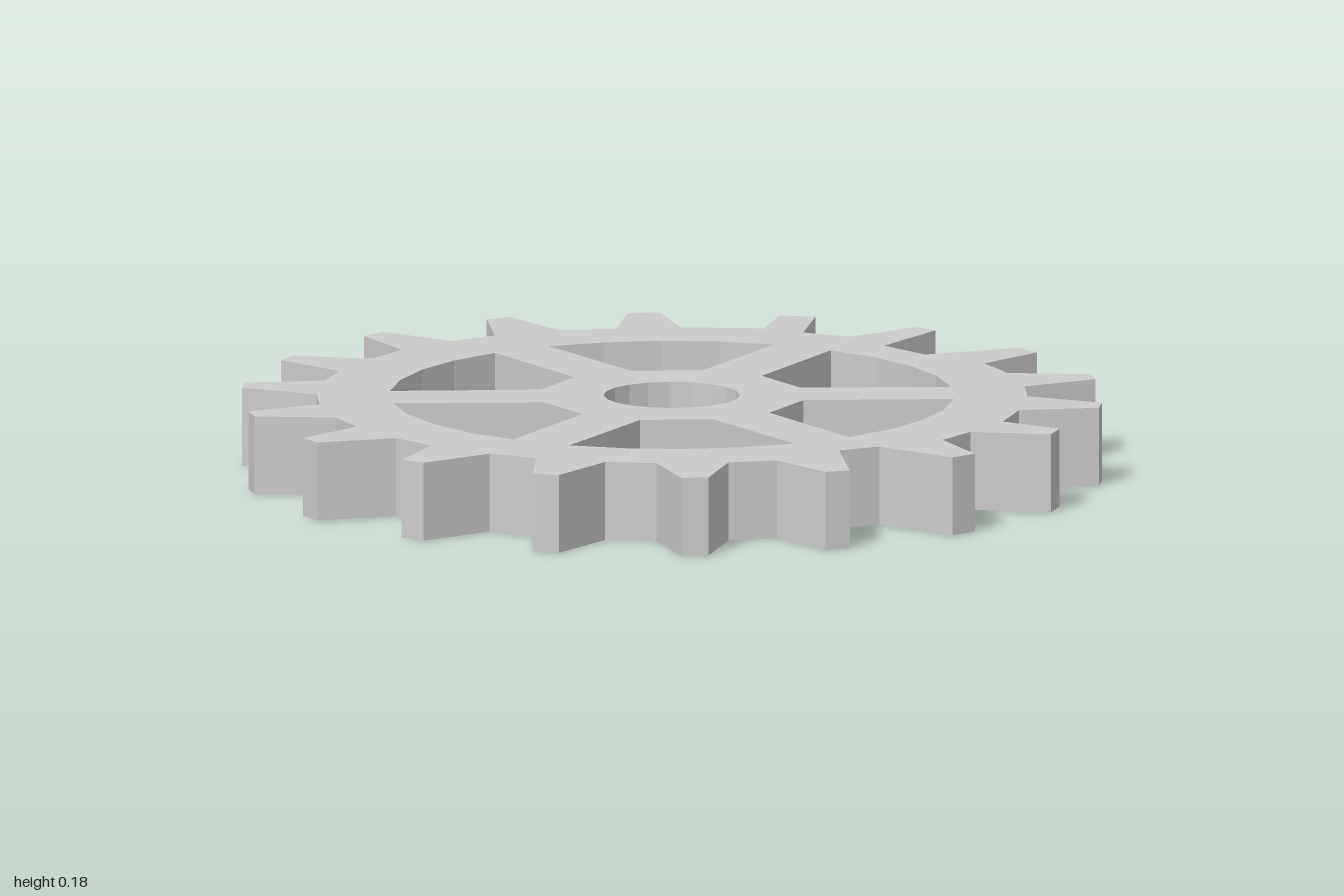
import * as THREE from 'three';

const HEIGHT = 0.183, TEETH = 18, SPOKES = 6;
const ROOT_R = 0.82, TIP_R = 0.996, WINDOW_R = 0.652, BORE_R = 0.158;
const CENTRE = 0.004; // hub sits slightly towards the back

// Point at a clockwise angle in degrees, measured from the back of the wheel
function polar(radius, degrees, offset = 0) {
  const a = THREE.MathUtils.degToRad(degrees);
  return new THREE.Vector2(radius * Math.sin(a), radius * Math.cos(a) + offset);
}

// Tooth corners as [radius, angle from the tooth's pitch position]
const regularTooth = [[ROOT_R, -6.9], [TIP_R, -2.6], [TIP_R, 1], [ROOT_R, 4.7]];

// A few teeth are hand-cut and differ from the regular one
const oddTeeth = {
  0: [[0.81, -7], [0.994, -3.7], [1.001, 0.6], [0.82, 3.7]],
  1: [[0.834, -3], [0.993, -3.3], [1.003, 1.5], [0.816, 4]],
  2: [[0.817, -7.5], [0.995, -3.5], [0.991, 0.1], [0.773, 1.5]],
  3: [[0.763, -7.8], [0.987, -3.3], [0.988, 0.7], [0.816, 4.1]],
  6: [[0.826, -5.2], [0.98, -3.6], [0.993, 0.5], [0.818, 4.9]],
  7: [[0.824, -7], [0.993, -2.5], [0.99, 1.4], [0.782, 4.5]],
  8: [[0.768, -7.9], [0.995, -2.1], [0.99, 1.3], [0.823, 5.1]],
  16: [[0.831, -6.4], [1.008, -2.6], [1.011, 1.2], [0.827, 4.5]],
  17: [[0.829, -7.3], [1.011, -2.8], [1.016, 0.6], [0.833, 3.8]],
};

// Toothed outline
function gearOutline() {
  const points = [];
  for (let i = 0; i < TEETH; i++) {
    for (const [r, a] of oddTeeth[i] ?? regularTooth) points.push(polar(r, a + i * 360 / TEETH));
  }
  return new THREE.Shape(points);
}

// Opening between two spokes: straight hub edge, straight sides, faceted outer arc.
// Holes run counter-clockwise, against the outline, so their walls face inwards.
function spokeWindow(turn) {
  const innerR = Math.hypot(0.085, 0.298), innerA = 15.9, outerA = 23.5, steps = 4;
  const points = [polar(innerR, turn + innerA, CENTRE)];
  for (let i = 0; i <= steps; i++) {
    points.push(polar(WINDOW_R, turn + outerA - 2 * outerA * i / steps, CENTRE));
  }
  points.push(polar(innerR, turn - innerA, CENTRE));
  return new THREE.Path(points);
}

// Faceted axle hole
function axleBore(sides = 20) {
  const points = [];
  for (let i = 0; i < sides; i++) points.push(polar(BORE_R, -i * 360 / sides, CENTRE));
  return new THREE.Path(points);
}

export function createModel() {
  const group = new THREE.Group();
  group.name = 'spokedGear';

  const shape = gearOutline();
  for (let i = 0; i < SPOKES; i++) shape.holes.push(spokeWindow(i * 360 / SPOKES));
  shape.holes.push(axleBore());

  // Extrude upwards and lay the wheel flat
  const geometry = new THREE.ExtrudeGeometry(shape, { depth: HEIGHT, bevelEnabled: false });
  geometry.rotateX(-Math.PI / 2);

  const material = new THREE.MeshStandardMaterial({ color: 0xcccccc, flatShading: true });
  const wheel = new THREE.Mesh(geometry, material);
  wheel.name = 'gearWheel';
  group.add(wheel);
  return group;
}
